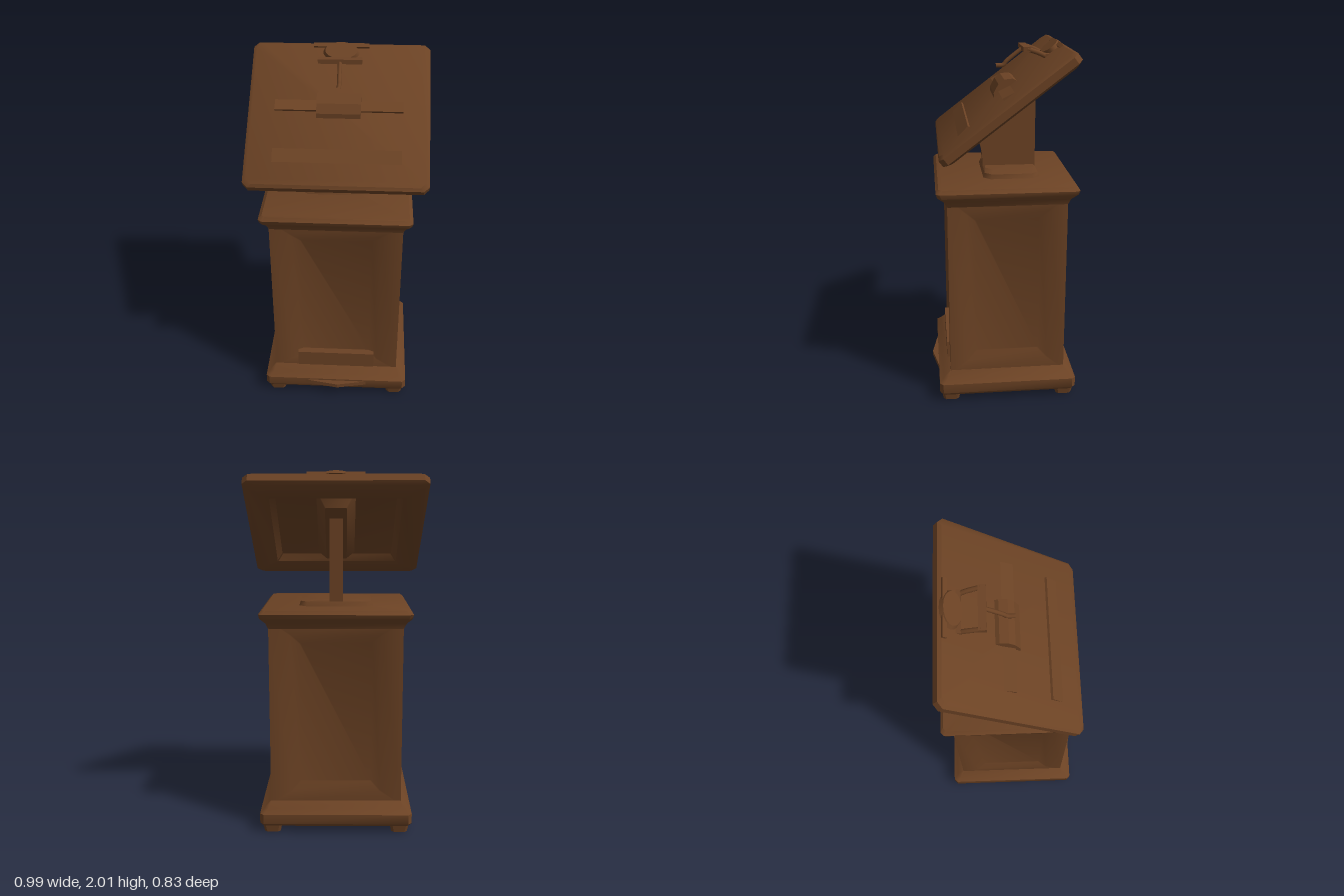
import * as THREE from 'three';
import { toCreasedNormals } from 'three/addons/utils/BufferGeometryUtils.js';

const wood = new THREE.MeshStandardMaterial({ color: 0x6b4224 });
wood.name = 'darkWood';

// Stack of chamfered rectangles [height, halfX, halfZ, cornerCut], joined and capped along +y.
function loft(rings, capStart = true) {
  const pos = [], idx = [];
  for (const [y, hx, hz, c = 0.005] of rings) {
    const corners = [[hx, hz - c], [hx, c - hz], [hx - c, -hz], [c - hx, -hz],
      [-hx, c - hz], [-hx, hz - c], [c - hx, hz], [hx - c, hz]];
    for (const [x, z] of corners) pos.push(x, y, z);
  }
  for (let r = 0; r < rings.length - 1; r++) {
    for (let i = 0; i < 8; i++) {
      const a = r * 8 + i, b = r * 8 + (i + 1) % 8;
      idx.push(a, b, b + 8, a, b + 8, a + 8);
    }
  }
  const end = (rings.length - 1) * 8;
  for (let i = 1; i < 7; i++) {
    if (capStart) idx.push(0, i + 1, i);
    idx.push(end, end + i, end + i + 1);
  }
  const g = new THREE.BufferGeometry();
  g.setAttribute('position', new THREE.Float32BufferAttribute(pos, 3));
  g.setIndex(idx);
  return toCreasedNormals(g, 0.75);
}

function add(parent, name, geometry, x = 0, y = 0, z = 0) {
  const mesh = new THREE.Mesh(geometry, wood);
  mesh.name = name;
  mesh.position.set(x, y, z);
  parent.add(mesh);
  return mesh;
}

const box = (w, h, d) => new THREE.BoxGeometry(w, h, d);

// Solid with a side profile given as [z, y] points, centred across x.
function sideProfile(points, width) {
  const shape = new THREE.Shape(points.map(([z, y]) => new THREE.Vector2(z, y)));
  const g = new THREE.ExtrudeGeometry(shape, { depth: width, bevelEnabled: false });
  return g.translate(0, 0, -width / 2).rotateY(-Math.PI / 2);
}

function tube(points, radius) {
  const curve = new THREE.CatmullRomCurve3(points.map(p => new THREE.Vector3(...p)), false, 'centripetal');
  return new THREE.TubeGeometry(curve, 16, radius, 8);
}

// Cabinet wall with a sloping recessed panel.
function wall(width, height, panelW, panelH) {
  const g = loft([[0, width / 2, height / 2], [0, panelW / 2 + 0.05, panelH / 2 + 0.05],
    [-0.025, panelW / 2, panelH / 2]], false);
  return g.rotateX(Math.PI / 2);
}

function createCabinet() {
  const cabinet = new THREE.Group();
  cabinet.name = 'cabinet';
  cabinet.position.z = -0.02;
  const hx = 0.37, hz = 0.33;

  for (const s of [1, -1]) {
    const face = add(cabinet, s > 0 ? 'frontWall' : 'backWall', wall(hx * 2, 1.06, 0.4, 0.8), 0, 0.68, s * hz);
    face.rotation.y = s > 0 ? 0 : Math.PI;
    const side = add(cabinet, s > 0 ? 'leftWall' : 'rightWall', wall(hz * 2, 1.06, 0.36, 0.8), s * hx, 0.68, 0);
    side.rotation.y = s * Math.PI / 2;
    for (const t of [1, -1]) {
      add(cabinet, 'foot', loft([[0, 0.045, 0.045, 0.015], [0.05, 0.055, 0.055, 0.015]]), s * 0.36, 0, t * 0.33);
    }
  }
  add(cabinet, 'plinth', loft([[0.04, 0.42, 0.385, 0.02], [0.055, 0.43, 0.395, 0.02],
    [0.11, 0.43, 0.395, 0.02], [0.135, 0.405, 0.37, 0.02], [0.17, 0.372, 0.332]]));
  add(cabinet, 'topMoulding', loft([[1.165, 0.371, 0.331], [1.195, 0.385, 0.345, 0.01], [1.225, 0.415, 0.38, 0.02],
    [1.25, 0.42, 0.39, 0.02], [1.27, 0.4, 0.375, 0.02]]));

  // Front plate and the shallow pointed ornament on the plinth
  add(cabinet, 'frontPlate', box(0.46, 0.1, 0.04), 0, 0.23, 0.325);
  const ornament = new THREE.Shape([[-0.2, 0], [0.2, 0], [0.14, 0.012], [0.01, 0.038], [-0.14, 0.012]]
    .map(p => new THREE.Vector2(...p)));
  add(cabinet, 'plinthOrnament', new THREE.ExtrudeGeometry(ornament, { depth: 0.025, bevelEnabled: false })
    .rotateX(Math.PI / 2).translate(0, 0.1, 0.392));
  return cabinet;
}

// Sloping desk; its local y = 0 is the reading surface.
function createDesk() {
  const desk = new THREE.Group();
  desk.name = 'readingDesk';
  desk.position.set(0, 1.73, 0.005);
  desk.rotation.x = 0.65;

  // Board with a raised rim around a recessed underside
  add(desk, 'board', loft([[-0.035, 0.33, 0.28], [-0.07, 0.36, 0.31], [-0.07, 0.47, 0.425, 0.03],
    [-0.055, 0.495, 0.445, 0.03], [-0.015, 0.495, 0.445, 0.03], [0, 0.475, 0.43, 0.03]]));
  add(desk, 'underBracket', loft([[-0.11, 0.06, 0.25], [-0.03, 0.11, 0.3]]), 0, 0, -0.03);

  // Ledges: rounded centre holder with an arm on each side, and a lower lip
  for (const s of [1, -1]) {
    add(desk, 'upperLedge', sideProfile([[-0.07, 0], [0, 0], [0, 0.014]], 0.24), s * 0.23, 0, -0.005);
  }
  const holder = [[-0.12, 0], [0.035, 0], [0.02, 0.022], [-0.03, 0.045], [-0.07, 0.045], [-0.11, 0.02]];
  add(desk, 'centreHolder', sideProfile(holder, 0.24));
  add(desk, 'lowerLip', sideProfile([[0.22, 0], [0.3, 0], [0.225, 0.012]], 0.69));

  // Lamp mount at the upper edge
  const mount = add(desk, 'lampMount', new THREE.CylinderGeometry(0.09, 0.105, 0.025, 20), 0, 0.008, -0.38);
  mount.scale.z = 0.6;
  add(desk, 'mountBar', box(0.31, 0.015, 0.025), 0, 0.006, -0.42);
  return desk;
}

// Open square frame rising from the desk with a thin hanging arm
function createLampArm() {
  const arm = new THREE.Group();
  arm.name = 'lampArm';
  for (const s of [1, -1]) {
    add(arm, 'frameSide', tube([[s * 0.1, 1.92, -0.27], [s * 0.105, 1.945, -0.22], [s * 0.11, 1.97, -0.15]], 0.013));
  }
  add(arm, 'frameFront', box(0.24, 0.025, 0.04), 0, 1.968, -0.147);
  add(arm, 'frameBack', box(0.23, 0.025, 0.03), 0, 1.93, -0.265);
  add(arm, 'stem', tube([[0, 1.965, -0.14], [0, 1.935, -0.1], [0, 1.89, -0.045], [0, 1.872, -0.03], [0, 1.87, 0.012]], 0.012));
  return arm;
}

export function createModel() {
  const model = new THREE.Group();
  model.name = 'lectern';
  model.add(createCabinet(), createDesk(), createLampArm());

  // Post and its foot plate
  add(model, 'postPlate', loft([[1.265, 0.21, 0.16, 0.04], [1.295, 0.2, 0.15, 0.04], [1.305, 0.13, 0.14, 0.04]]), 0, 0, -0.06);
  add(model, 'post', sideProfile([[0.09, 1.28], [0.095, 1.38], [0.115, 1.47], [0.13, 1.55], [-0.21, 1.83], [-0.21, 1.28]], 0.075));
  return model;
}
